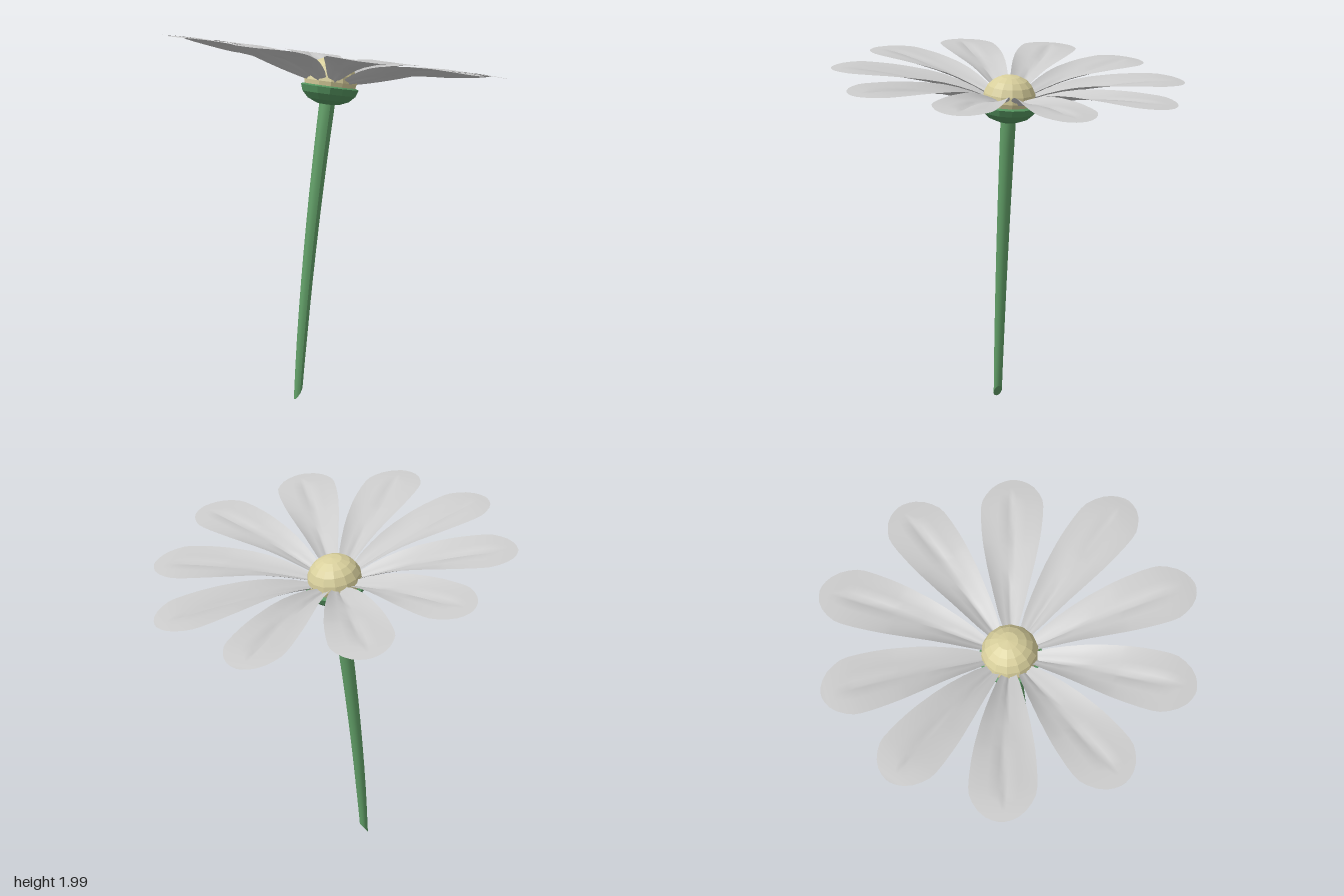
import * as THREE from 'three';

const mat = (color, extra = {}) => new THREE.MeshStandardMaterial({ color, roughness: 0.8, ...extra });

// Petal cross-sections along its length: [distance, half width, height, edge lift]
const SECTIONS = [
  [0.08, 0.020, -0.005, 0.005], [0.14, 0.038, 0.008, 0.015], [0.20, 0.058, 0.024, 0.025],
  [0.28, 0.078, 0.044, 0.032], [0.36, 0.097, 0.062, 0.035], [0.45, 0.117, 0.080, 0.032],
  [0.56, 0.137, 0.101, 0.022], [0.60, 0.143, 0.108, 0.018], [0.66, 0.150, 0.117, 0.013],
  [0.74, 0.156, 0.127, 0.006], [0.80, 0.157, 0.132, 0.003], [0.84, 0.152, 0.134, 0.001],
  [0.88, 0.135, 0.134, 0], [0.92, 0.109, 0.133, 0], [0.95, 0.076, 0.131, 0],
  [0.966, 0.045, 0.130, 0], [0.975, 0.012, 0.130, 0],
];
const ACROSS = [-1, -0.75, -0.45, -0.14, 0, 0.14, 0.45, 0.75, 1];

// Crease down the middle, near the root and near the tip
function creaseDepth(r) {
  const bump = (a, b) => Math.sqrt(Math.max(0, (r - a) * (b - r))) / ((b - a) / 2);
  return 0.014 * bump(0.08, 0.4) + 0.02 * bump(0.54, 0.87);
}

function petalGeometry(length) {
  const pos = [], index = [], n = ACROSS.length;
  SECTIONS.forEach(([r, half, height, lift], i) => {
    for (const t of ACROSS) {
      const y = height + lift * t * t - (t === 0 ? creaseDepth(r) : 0);
      pos.push(r * length / 0.975, y, t * half);
    }
    if (i === 0) return;
    for (let j = 0; j < n - 1; j++) {
      const a = (i - 1) * n + j, b = a + n;
      index.push(a, a + 1, b, a + 1, b + 1, b);
    }
  });
  const geo = new THREE.BufferGeometry();
  geo.setAttribute('position', new THREE.Float32BufferAttribute(pos, 3));
  geo.setIndex(index);
  geo.computeVertexNormals();
  return geo;
}

// Leaning, tapered stem with a slanted cut at the foot
function stemGeometry() {
  const geo = new THREE.CylinderGeometry(1, 1, 1, 12, 10);
  const path = new THREE.QuadraticBezierCurve3(
    new THREE.Vector3(-0.24, 0.045, -0.03),
    new THREE.Vector3(-0.185, 0.8, -0.03),
    new THREE.Vector3(-0.055, 1.65, -0.03));
  const p = geo.attributes.position;
  for (let i = 0; i < p.count; i++) {
    const t = p.getY(i) + 0.5, x = p.getX(i), z = p.getZ(i);
    const c = path.getPoint(t), r = 0.024 + 0.018 * t;
    const cut = 0.036 * x * Math.max(0, 1 - t * 5);
    const slope = -0.12 * r * x * t;
    p.setXYZ(i, c.x + x * r, c.y + cut + slope, c.z + z * r);
  }
  geo.computeVertexNormals();
  return geo;
}

export function createModel() {
  const model = new THREE.Group();
  const add = (parent, geo, material, name) => {
    const mesh = new THREE.Mesh(geo, material);
    mesh.name = name;
    parent.add(mesh);
    return mesh;
  };
  const green = mat(0x62a068);
  const greenFlat = mat(0x55945f, { flatShading: true });
  const cream = mat(0xd8cf9c, { flatShading: true });
  const white = mat(0xcccccc, { side: THREE.DoubleSide });

  add(model, stemGeometry(), green, 'stem');

  // Flower head, tipped towards +x
  const head = new THREE.Group();
  head.name = 'flowerHead';
  head.position.set(-0.04, 1.735, -0.03);
  head.rotation.z = -0.142;
  model.add(head);

  // Green cup under the petals
  const cup = [[0, -0.128], [0.06, -0.12], [0.112, -0.098], [0.145, -0.065],
    [0.157, -0.03], [0.135, -0.022], [0, -0.022]].map(([x, y]) => new THREE.Vector2(x, y));
  add(head, new THREE.LatheGeometry(cup, 14), greenFlat, 'cup');

  // Domed centre with a short skirt reaching the cup
  const dome = [[0.136, -0.03], [0.143, 0], [0.137, 0.035], [0.118, 0.073],
    [0.09, 0.1], [0.05, 0.12], [0, 0.127]].map(([x, y]) => new THREE.Vector2(x, y));
  add(head, new THREE.LatheGeometry(dome, 14), cream, 'centre');

  // Ring of petals with slightly different lengths
  const lengths = [0.97, 0.93, 0.98, 0.945, 0.93, 0.927, 0.93, 0.9, 0.925, 0.985];
  lengths.forEach((length, i) => {
    const petal = add(head, petalGeometry(length), white, 'petal' + (i + 1));
    petal.rotation.y = -i * Math.PI * 2 / lengths.length;
  });
  return model;
}
